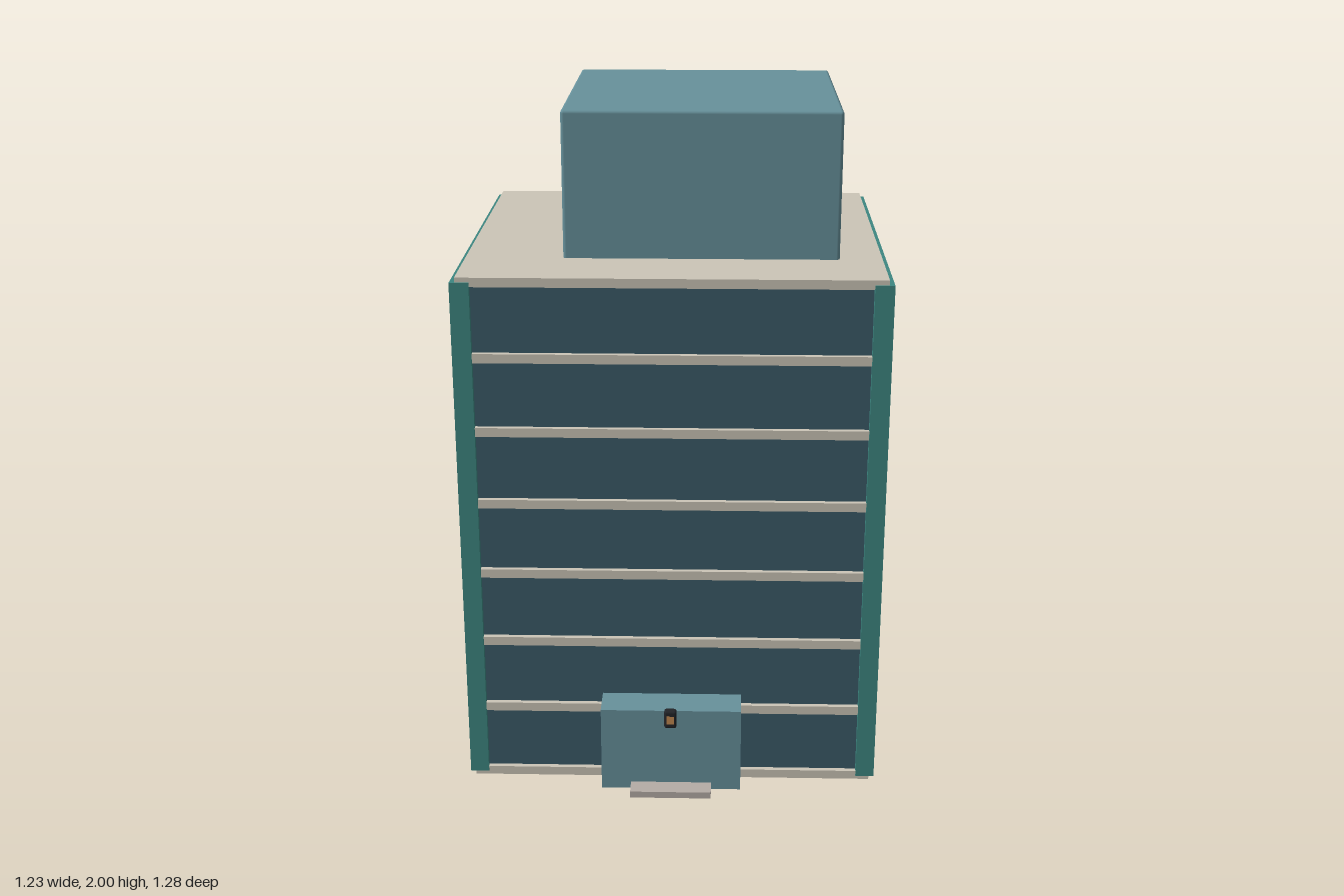
import * as THREE from 'three';
import { RoundedBoxGeometry } from 'three/addons/geometries/RoundedBoxGeometry.js';

const mat = (color) => new THREE.MeshStandardMaterial({ color });
const concrete = mat(0xcbc5b7);
const green = mat(0x3d8781);
const glass = mat(0x3a5a68);
const panel = mat(0x67919b);
const stone = mat(0xb5aca6);
const black = mat(0x222428);
const amber = mat(0xc08850);

// Box given by its limits on each axis, with optionally rounded edges
function block(name, material, [x0, x1], [y0, y1], [z0, z1], radius = 0) {
  const size = [x1 - x0, y1 - y0, z1 - z0];
  const geometry = radius
    ? new RoundedBoxGeometry(...size, 2, radius)
    : new THREE.BoxGeometry(...size);
  const mesh = new THREE.Mesh(geometry, material);
  mesh.name = name;
  mesh.position.set((x0 + x1) / 2, (y0 + y1) / 2, (z0 + z1) / 2);
  return mesh;
}

export function createModel() {
  const building = new THREE.Group();
  building.name = 'officeBuilding';

  // Floor slabs with a set-back band of glass on each storey
  const storeys = 7, pitch = 0.2207, slab = 0.027;
  for (let i = 0; i <= storeys; i++) {
    const y = 0.003 + i * pitch;
    building.add(block(`floorSlab${i}`, concrete, [-0.6, 0.6], [y, y + slab], [-0.635, 0.488]));
    if (i < storeys) {
      building.add(block(`glassBand${i + 1}`, glass, [-0.59, 0.59], [y + slab, y + pitch], [-0.62, 0.473]));
    }
  }

  // Side walls: channel section whose lips wrap the front and back corners
  for (const s of [-1, 1]) {
    const outline = [
      [0.615, -0.64], [0.615, 0.493], [0.56, 0.493], [0.56, 0.474],
      [0.597, 0.474], [0.597, -0.621], [0.56, -0.621], [0.56, -0.64],
    ].map(([x, z]) => new THREE.Vector2(s * x, -z));
    const geometry = new THREE.ExtrudeGeometry(new THREE.Shape(outline), {
      depth: 1.545, bevelEnabled: false,
    });
    geometry.rotateX(-Math.PI / 2);
    const wall = new THREE.Mesh(geometry, green);
    wall.name = s > 0 ? 'leftSideWall' : 'rightSideWall';
    wall.position.y = 0.016;
    building.add(wall);
  }

  // Rooftop block
  building.add(block('rooftopBlock', panel, [-0.318, 0.477], [1.56, 2], [-0.523, 0.265], 0.01));

  // Entrance porch and doorstep
  building.add(block('entrancePorch', panel, [-0.208, 0.208], [0.016, 0.28], [0.46, 0.577]));
  building.add(block('doorstep', stone, [-0.12, 0.12], [0.018, 0.038], [0.56, 0.633]));

  // Small lamp in front of the porch
  const lamp = new THREE.Group();
  lamp.name = 'entranceLamp';
  lamp.add(
    block('lampHousing', black, [-0.018, 0.018], [0.254, 0.311], [0.613, 0.637], 0.007),
    block('lampLens', amber, [-0.011, 0.011], [0.27, 0.295], [0.63, 0.639]),
  );
  building.add(lamp);

  return building;
}
